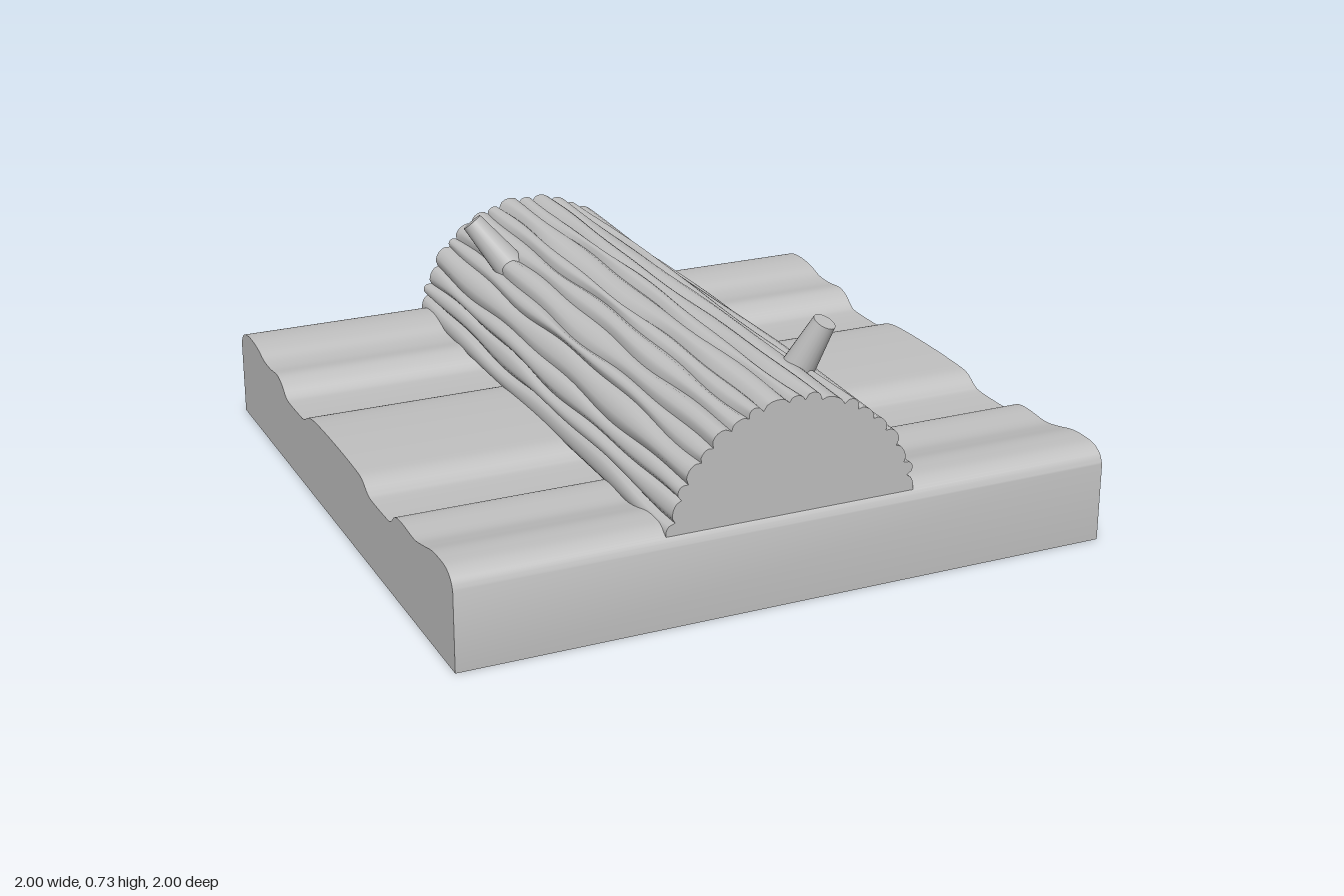
import * as THREE from 'three';
import { mergeGeometries, toCreasedNormals } from 'three/addons/utils/BufferGeometryUtils.js';

const RIDGES = 19, STEPS = 6, ROWS = 48, HALF = 0.985;
const RADIUS = 0.366, CENTRE_Y = 0.232, START = 0.04;

// Angle of the seam between two bark ridges; it wanders along the log
function seam(i, z) {
  const spread = START + (Math.PI - 2 * START) * i / RIDGES;
  if (i === 0 || i === RIDGES) return spread;
  return spread + 0.025 * Math.sin(i * 2.4)
    + 0.016 * Math.sin(z * 5 + i * 1.9)
    + 0.011 * Math.sin(z * 11 + i * 4.1);
}

// Point on the bark: ridge i, t across the ridge, z along the log
function barkPoint(i, t, z) {
  const a = THREE.MathUtils.lerp(seam(i, z), seam(i + 1, z), t);
  const height = 0.018 + 0.005 * Math.sin(i * 3.7 + z * 4);
  const r = RADIUS + height * Math.sqrt(Math.sin(Math.PI * t) + 1e-9);
  return [r * Math.cos(a), CENTRE_Y + r * Math.sin(a), z];
}

// One rounded ridge running the length of the log
function ridgeGeometry(i) {
  const position = [], index = [], w = STEPS + 1;
  for (let k = 0; k <= ROWS; k++) {
    const z = -HALF + 2 * HALF * k / ROWS;
    for (let j = 0; j <= STEPS; j++) position.push(...barkPoint(i, j / STEPS, z));
  }
  for (let k = 0; k < ROWS; k++) {
    for (let j = 0; j < STEPS; j++) {
      const a = k * w + j, b = a + 1, c = a + w, d = c + 1;
      index.push(a, b, c, b, d, c);
    }
  }
  const g = new THREE.BufferGeometry();
  g.setAttribute('position', new THREE.Float32BufferAttribute(position, 3));
  g.setIndex(index);
  g.computeVertexNormals();
  return g;
}

// Scalloped end of the log, side = 1 front or -1 back
function endGeometry(side) {
  const points = [];
  for (let i = 0; i < RIDGES; i++) {
    for (let j = 0; j < STEPS; j++) {
      const [x, y] = barkPoint(i, j / STEPS, side * HALF);
      points.push(new THREE.Vector2(side * x, y));
    }
  }
  const [x, y] = barkPoint(RIDGES - 1, 1, side * HALF);
  points.push(new THREE.Vector2(side * x, y));
  const g = new THREE.ShapeGeometry(new THREE.Shape(points));
  if (side < 0) g.rotateY(Math.PI);
  return g.translate(0, 0, side * HALF);
}

export function createModel() {
  const model = new THREE.Group();
  model.name = 'logOnGround';
  const grey = new THREE.MeshStandardMaterial({ color: 0xc0c0c0 });
  grey.name = 'plain grey';

  const add = (name, geometry, parent = model) => {
    const mesh = new THREE.Mesh(geometry, grey);
    mesh.name = name;
    parent.add(mesh);
    return mesh;
  };

  // Wavy ground slab: profile from front to back, swept across x
  const profile = [
    [-1, 0.24], [-0.985, 0.268], [-0.95, 0.287], [-0.9, 0.291], [-0.84, 0.288], [-0.77, 0.272],
    [-0.7, 0.26], [-0.6, 0.265], [-0.54, 0.257], [-0.5, 0.227], [-0.46, 0.222], [-0.34, 0.222],
    [-0.3, 0.229], [-0.25, 0.256], [-0.18, 0.263], [0, 0.266], [0.18, 0.262], [0.26, 0.25],
    [0.31, 0.226], [0.36, 0.222], [0.46, 0.222], [0.5, 0.228], [0.54, 0.256], [0.59, 0.271],
    [0.67, 0.264], [0.74, 0.267], [0.8, 0.283], [0.87, 0.291], [0.94, 0.286], [0.98, 0.268], [1, 0.24],
  ].map(([s, y]) => new THREE.Vector2(s, y));
  const ground = new THREE.Shape([
    new THREE.Vector2(1, 0),
    ...new THREE.SplineCurve(profile).getPoints(120).reverse(),
    new THREE.Vector2(-1, 0),
  ]);
  const slab = new THREE.ExtrudeGeometry(ground, { depth: 2, bevelEnabled: false });
  slab.translate(0, 0, -1).rotateY(Math.PI / 2);
  add('groundSlab', toCreasedNormals(slab, 0.6));

  // Half log: bark ridges, two ends and a flat underside
  const log = new THREE.Group();
  log.name = 'log';
  model.add(log);
  add('bark', mergeGeometries(Array.from({ length: RIDGES }, (_, i) => ridgeGeometry(i))), log);
  add('frontEnd', endGeometry(1), log);
  add('backEnd', endGeometry(-1), log);
  const [edgeX, edgeY] = barkPoint(0, 0, 0);
  const under = new THREE.PlaneGeometry(2 * edgeX, 2 * HALF).rotateX(Math.PI / 2);
  add('underside', under.translate(0, edgeY, 0), log);

  // Tapered branch stubs from inside the log to their cut tips
  const stub = (name, from, to) => {
    const a = new THREE.Vector3(...from), b = new THREE.Vector3(...to);
    const dir = b.clone().sub(a);
    const mesh = add(name, new THREE.CylinderGeometry(0.034, 0.055, dir.length(), 24), log);
    mesh.position.copy(a).add(b).multiplyScalar(0.5);
    mesh.quaternion.setFromUnitVectors(new THREE.Vector3(0, 1, 0), dir.normalize());
  };
  stub('leftBranch', [0.14, 0.51, 0.67], [0.212, 0.714, 0.745]);
  stub('rightBranch', [-0.19, 0.49, -0.585], [-0.311, 0.66, -0.665]);

  return model;
}
